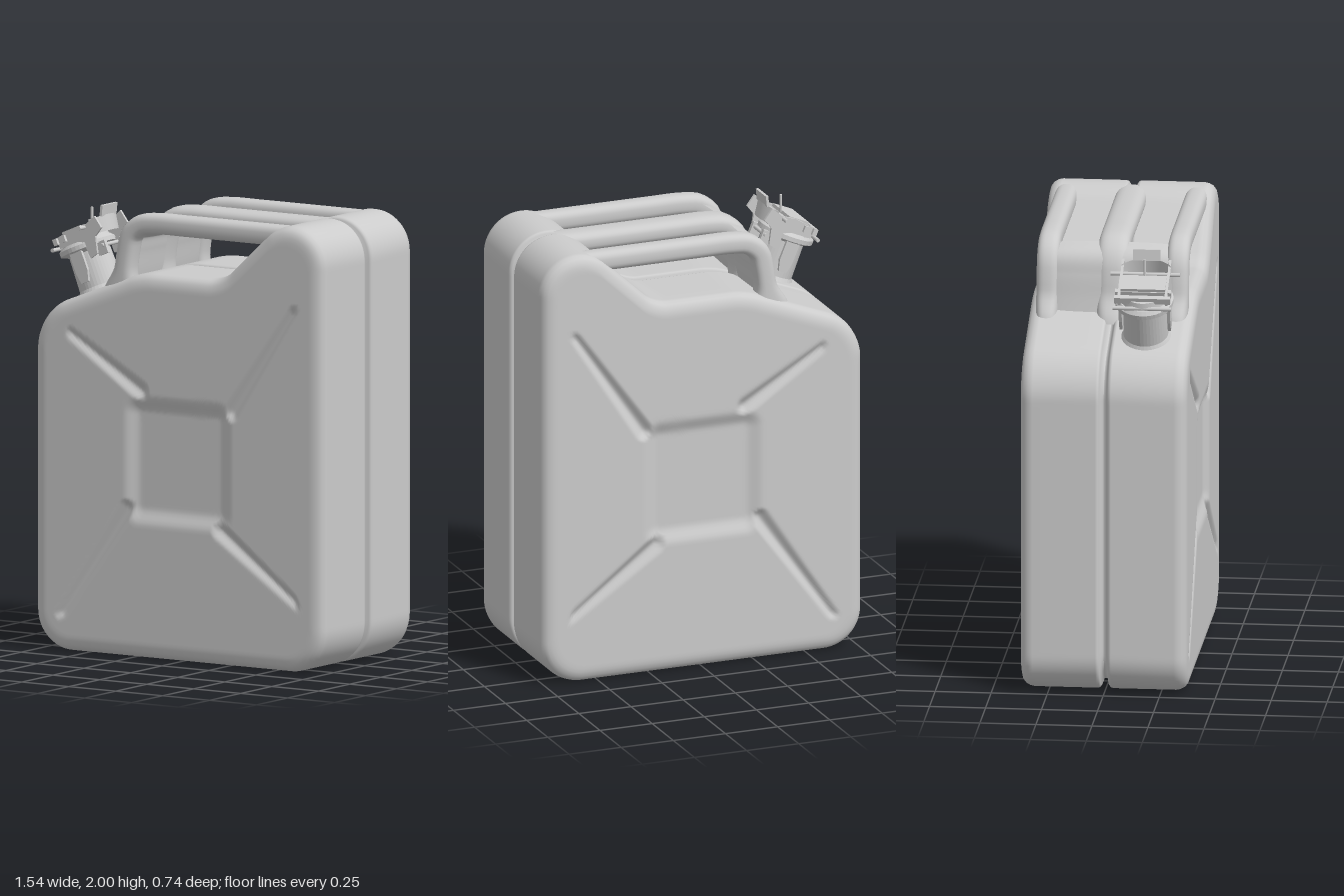
import * as THREE from 'three';

const mat = new THREE.MeshStandardMaterial({ color: 0xcccccc, roughness: 0.6 });
const V2 = (x, y) => new THREE.Vector2(x, y);
const smooth = THREE.MathUtils.smoothstep;

function add(parent, name, geo, x = 0, y = 0, z = 0) {
  const m = new THREE.Mesh(geo, mat);
  m.name = name;
  m.position.set(x, y, z);
  parent.add(m);
  return m;
}

// Skin closed rings of points into one smooth surface
function loft(rings, flip) {
  const n = rings[0].length, pos = [], idx = [];
  rings.forEach(r => r.forEach(p => pos.push(p[0], p[1], p[2])));
  for (let j = 0; j < rings.length - 1; j++) {
    for (let i = 0; i < n; i++) {
      const k = (i + 1) % n;
      const a = j * n + i, b = j * n + k, c = (j + 1) * n + k, d = (j + 1) * n + i;
      if (flip) idx.push(a, c, b, a, d, c);
      else idx.push(a, b, c, a, c, d);
    }
  }
  const g = new THREE.BufferGeometry();
  g.setAttribute('position', new THREE.Float32BufferAttribute(pos, 3));
  g.setIndex(idx);
  g.computeVertexNormals();
  return g;
}

// Polygon with rounded corners, given as [x, y, cut length]
function roundedShape(corners) {
  const s = new THREE.Shape(), n = corners.length;
  corners.forEach(([x, y, r], i) => {
    const p = V2(x, y);
    const toward = c => p.clone().add(V2(c[0], c[1]).sub(p).setLength(r));
    const a = toward(corners[(i + n - 1) % n]), b = toward(corners[(i + 1) % n]);
    if (i) s.lineTo(a.x, a.y); else s.moveTo(a.x, a.y);
    // cubic close to a circular arc
    const c1 = a.clone().lerp(p, 0.56), c2 = b.clone().lerp(p, 0.56);
    s.bezierCurveTo(c1.x, c1.y, c2.x, c2.y, b.x, b.y);
  });
  s.closePath();
  return s;
}

// Pressed relief of the large faces: sunken square and four tapering creases
const creases = [
  [V2(-0.2, 1.2), V2(-0.57, 1.43)], [V2(0.28, 1.14), V2(0.61, 1.62)],
  [V2(-0.27, 0.67), V2(-0.62, 0.17)], [V2(0.22, 0.61), V2(0.62, 0.32)],
];
function relief(x, y) {
  const dx = Math.abs(x) - 0.2, dy = Math.abs(y - 0.89) - 0.205;
  const out = Math.hypot(Math.max(dx, 0), Math.max(dy, 0));
  let depth = 1 - smooth(out, 0.01, 0.09);
  for (const [a, b] of creases) {
    const ab = b.clone().sub(a), p = V2(x, y).sub(a);
    const t = THREE.MathUtils.clamp(p.dot(ab) / ab.lengthSq(), 0, 1);
    const dist = p.distanceTo(ab.multiplyScalar(t));
    depth = Math.max(depth, (1 - 0.35 * t) * (1 - smooth(dist, 0, 0.05 - 0.022 * t)));
  }
  return 0.026 * depth;
}

// One pressed half of the can, from the seam groove out to the face
function halfShell(side) {
  const pts = roundedShape([
    [-0.77, 0, 0.18], [0.77, 0, 0.2], [0.77, 2, 0.18], [0.51, 2, 0.07],
    [0.22, 1.73, 0.06], [-0.21, 1.73, 0.07], [-0.77, 1.515, 0.16],
  ]).getSpacedPoints(360).slice(0, -1);
  const n = pts.length;
  const inset = d => pts.map((p, i) => {
    const t = pts[(i + 1) % n].clone().sub(pts[(i + n - 1) % n]).normalize();
    return V2(p.x - t.y * d, p.y + t.x * d);
  });
  const profile = [[0.045, 0], [0.042, 0.012], [0.012, 0.018], [0.003, 0.025], [0, 0.035],
    [0, 0.315], [0.004, 0.335], [0.014, 0.353], [0.03, 0.365], [0.05, 0.37]];
  const rings = profile.map(([d, z]) => inset(d).map(p => [p.x, p.y, z * side]));
  const edge = inset(0.05), cy = 0.9, steps = 56;
  for (let j = 1; j <= steps; j++) {
    const k = 1 - j / steps;
    rings.push(edge.map(p => {
      const x = p.x * k, y = cy + (p.y - cy) * k;
      return [x, y, side * (0.372 - relief(x, y))];
    }));
  }
  return loft(rings, side < 0);
}

// Rounded bar following the handle path, flaring at its foot
function handleBar(path, halfThick, halfWidth) {
  const curve = new THREE.CatmullRomCurve3(path.map(([x, y]) => new THREE.Vector3(x, y, 0)));
  const rings = [], steps = 48, around = 32;
  const soft = v => Math.sign(v) * Math.pow(Math.abs(v), 0.75);
  for (let j = 0; j <= steps; j++) {
    const u = j / steps, p = curve.getPointAt(u), t = curve.getTangentAt(u);
    const h = halfThick * (1 + 0.9 * smooth(u, 0.88, 1));
    const ring = [];
    for (let i = 0; i < around; i++) {
      const a = i / around * Math.PI * 2;
      const q = soft(Math.cos(a)) * h;
      ring.push([p.x + t.y * q, p.y - t.x * q, soft(Math.sin(a)) * halfWidth]);
    }
    rings.push(ring);
  }
  return loft(rings, true);
}

function plate(points, depth) {
  const g = new THREE.ExtrudeGeometry(new THREE.Shape(points.map(p => V2(...p))),
    { depth, bevelEnabled: false });
  return g.translate(0, 0, -depth / 2);
}

// Tilted filler neck with closing lid and lever
function spout() {
  const g = new THREE.Group();
  g.name = 'spout';
  g.position.set(-0.525, 1.585, 0.17);
  g.rotation.z = 0.4;
  const neck = [[0.135, -0.03], [0.115, 0.015], [0.1, 0.04], [0.095, 0.2], [0.13, 0.215],
    [0.13, 0.235], [0.115, 0.25], [0, 0.255]];
  const neckMesh = add(g, 'fillerNeck', new THREE.LatheGeometry(neck.map(p => V2(...p)), 40));
  neckMesh.geometry = neckMesh.geometry.toNonIndexed();
  neckMesh.geometry.computeVertexNormals();

  // lid and its pressed bars
  add(g, 'lid', new THREE.CylinderGeometry(0.1, 0.112, 0.035, 32), 0, 0.265, 0);
  for (const x of [-0.075, -0.03]) add(g, 'lidBar', new THREE.BoxGeometry(0.022, 0.03, 0.25), x, 0.285, 0);
  add(g, 'lidBridge', new THREE.BoxGeometry(0.1, 0.014, 0.2), 0.01, 0.31, 0);

  // lever cheeks and the bent thumb plate joining them
  const cheek = [[-0.07, 0.25], [-0.07, 0.3], [0.03, 0.315], [0.1, 0.31], [0.16, 0.33],
    [0.175, 0.27], [0.13, 0.245], [0.11, 0.17], [0.07, 0.16], [0.06, 0.24]];
  for (const s of [-1, 1]) {
    add(g, 'leverCheek', plate(cheek, 0.012), 0, 0, s * 0.105);
    add(g, 'claspArm', plate([[-0.03, 0.24], [0.035, 0.24], [0.035, 0.12], [0.02, 0.07],
      [-0.02, 0.07], [-0.03, 0.12]], 0.014), 0, 0, s * 0.108);
    add(g, 'hingeLug', new THREE.BoxGeometry(0.05, 0.06, 0.02), 0.115, 0.19, s * 0.06);
  }
  const thumb = new THREE.CylinderGeometry(0.15, 0.14, 0.07, 20, 1, true, Math.PI * 0.24, Math.PI * 0.52);
  const thumbMesh = add(g, 'thumbPlate', thumb, 0.02, 0.29, 0);
  thumbMesh.material = mat.clone();
  thumbMesh.material.side = THREE.DoubleSide;
  add(g, 'thumbLip', new THREE.BoxGeometry(0.012, 0.05, 0.12), 0.17, 0.345, 0).rotation.z = -0.5;

  // pivot rods
  for (const [x, y, len] of [[0.09, 0.3, 0.31], [0.125, 0.2, 0.16], [-0.1, 0.255, 0.26]]) {
    add(g, 'pivotRod', new THREE.CylinderGeometry(0.009, 0.009, len, 12), x, y, 0).rotation.x = Math.PI / 2;
  }
  add(g, 'lockingPin', new THREE.CylinderGeometry(0.006, 0.006, 0.08, 10), 0.075, 0.345, 0).rotation.z = -0.4;
  return g;
}

export function createModel() {
  const model = new THREE.Group();
  model.name = 'fuelCan';
  add(model, 'frontShell', halfShell(1));
  add(model, 'backShell', halfShell(-1));

  // three carrying rails sharing one cross wall at the spout end
  const path = [[0.56, 1.948], [0.3, 1.948], [0, 1.948], [-0.16, 1.947], [-0.24, 1.935],
    [-0.295, 1.89], [-0.315, 1.82], [-0.33, 1.72], [-0.35, 1.61]];
  add(model, 'middleRail', handleBar(path, 0.047, 0.07));
  for (const s of [-1, 1]) add(model, 'outerRail', handleBar(path, 0.047, 0.05), 0, 0, s * 0.29);
  add(model, 'handleWall', handleBar([[-0.23, 1.92], ...path.slice(5)], 0.04, 0.325));

  model.add(spout());
  return model;
}
